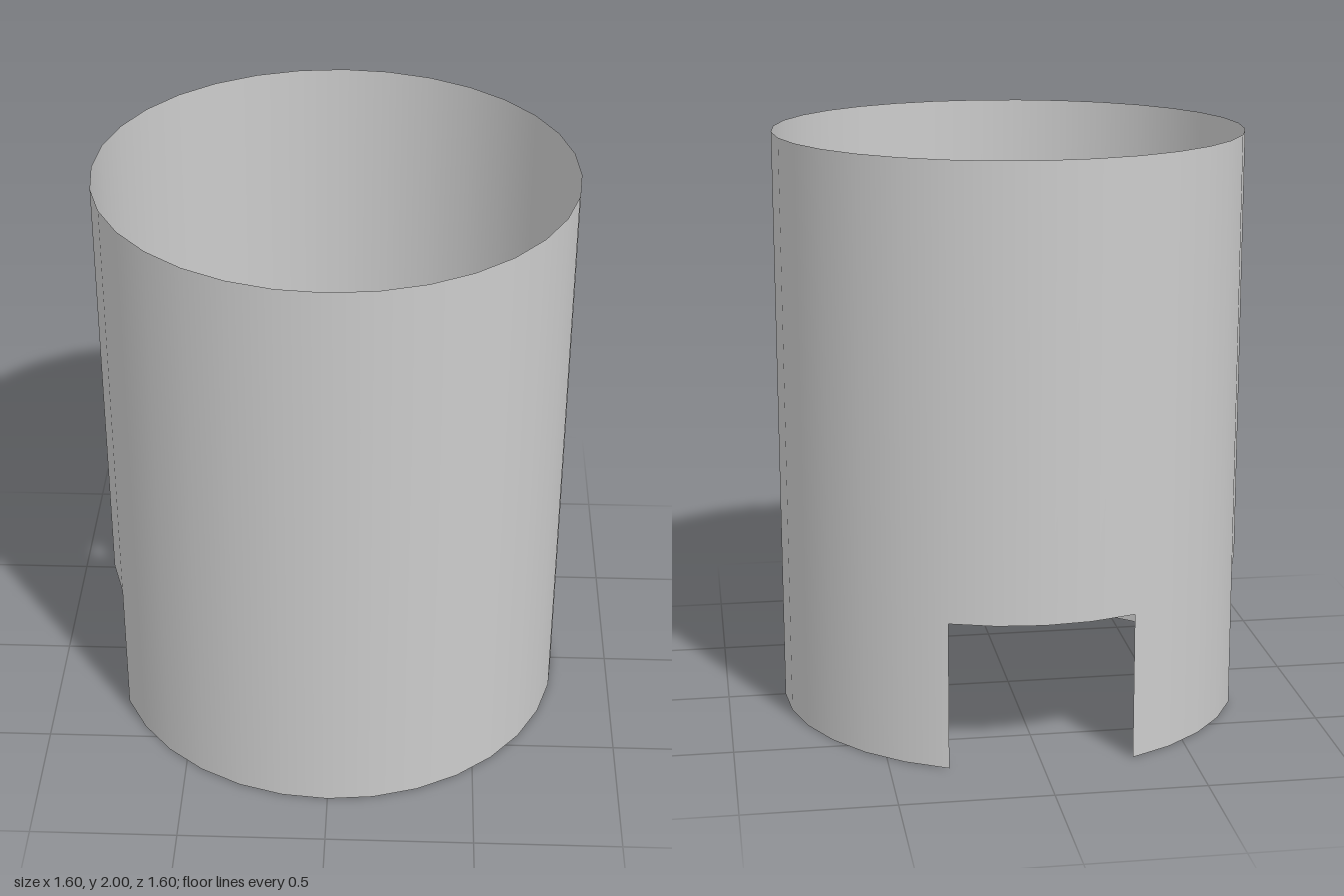
import * as THREE from 'three';

const RADIUS = 0.8;
const STEP = Math.PI / 16; // 32 sides all round
const NOTCH_TOP = 0.5;

export function createModel() {
  const group = new THREE.Group();
  group.name = 'notchedTube';
  const material = new THREE.MeshStandardMaterial({ color: 0xcccccc, side: THREE.DoubleSide });

  // Open, paper-thin section of tube wall; angles counted in sides from +z towards +x
  function wall(name, bottom, top, firstSide, sides) {
    const geometry = new THREE.CylinderGeometry(
      RADIUS, RADIUS, top - bottom, sides, 1, true, firstSide * STEP, sides * STEP);
    const mesh = new THREE.Mesh(geometry, material);
    mesh.name = name;
    mesh.position.y = (bottom + top) / 2;
    group.add(mesh);
  }

  // Full ring above the two notches
  wall('upperWall', NOTCH_TOP, 2, 0, 32);
  // Lower wall, leaving 45 degree notches centred on -z and -x
  wall('lowerWall', 0, NOTCH_TOP, 26, 20);
  wall('legBetweenNotches', 0, NOTCH_TOP, 18, 4);

  return group;
}
